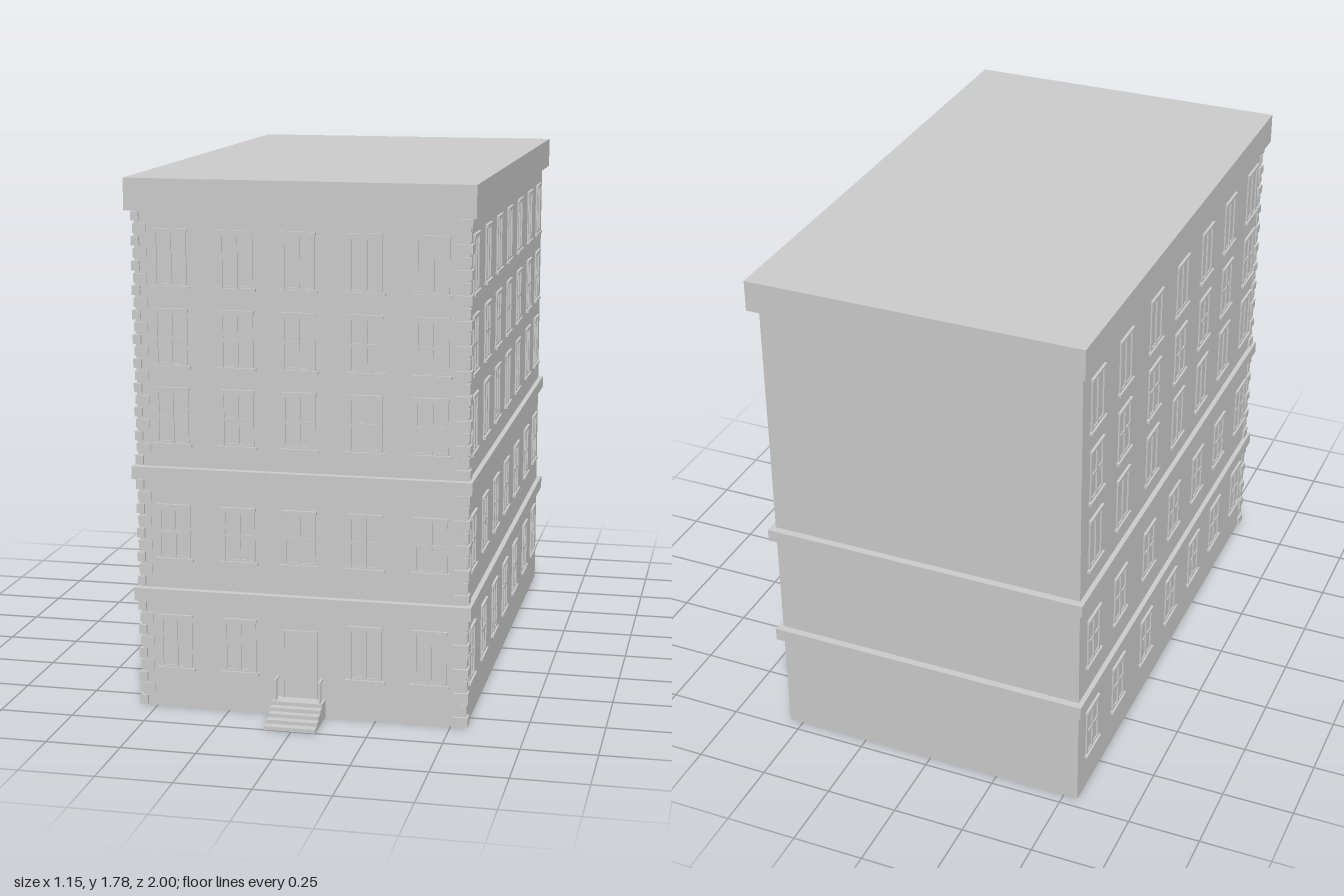
import * as THREE from 'three';

const material = new THREE.MeshStandardMaterial({ color: 0xcccccc, flatShading: true });

// Box given by its minimum and maximum on each axis
function block(parent, name, x0, x1, y0, y1, z0, z1) {
  const mesh = new THREE.Mesh(new THREE.BoxGeometry(x1 - x0, y1 - y0, z1 - z0), material);
  mesh.position.set((x0 + x1) / 2, (y0 + y1) / 2, (z0 + z1) / 2);
  mesh.name = name;
  parent.add(mesh);
  return mesh;
}

function group(parent, name) {
  const g = new THREE.Group();
  g.name = name;
  parent.add(g);
  return g;
}

// Window centred on local x = 0, wall plane at local z = 0, facing +z
function makeWindow(parent, bottom, top, crossbar) {
  const w = group(parent, 'window');
  const b = -0.003, d = 0.004;
  block(w, 'sill', -0.065, 0.065, bottom, bottom + 0.01, b, 0.011);
  block(w, 'lintel', -0.058, 0.058, top - 0.01, top, b, 0.009);
  block(w, 'topRail', -0.054, 0.054, top - 0.018, top - 0.01, b, d);
  block(w, 'bottomRail', -0.054, 0.054, bottom + 0.01, bottom + 0.017, b, d);
  for (const x of [-0.05, 0, 0.05])
    block(w, x ? 'jamb' : 'mullion', x - 0.005, x + 0.005, bottom + 0.01, top - 0.01, b, d + 0.001);
  if (crossbar) {
    const mid = (bottom + top) / 2;
    block(w, 'crossbar', -0.05, 0.05, mid - 0.005, mid + 0.005, b, d);
  }
  return w;
}

export function createModel() {
  const model = new THREE.Group();
  model.name = 'apartmentBuilding';
  const X = 0.55, ZF = 0.845, ZB = -0.96;

  // Main mass, string courses and roof cornice
  block(model, 'walls', -X, X, 0, 1.69, ZB, ZF);
  block(model, 'lowerBand', -0.567, 0.567, 0.37, 0.415, -0.985, 0.87);
  block(model, 'upperBand', -0.567, 0.567, 0.787, 0.83, -0.985, 0.87);
  block(model, 'roofCornice', -0.573, 0.573, 1.675, 1.78, -1, 0.878);

  // Windows, floor by floor: bottom, top, crossbar on the front, crossbar on the sides
  const floors = [
    [0.13, 0.323, false, true],
    [0.51, 0.703, true, true],
    [0.9, 1.097, true, false],
    [1.16, 1.357, true, true],
    [1.42, 1.617, false, false],
  ];
  const frontColumns = [-0.43, -0.21, -0.005, 0.215, 0.43];
  const sideColumns = [0.74, 0.48, 0.225, -0.035, -0.3, -0.585, -0.835];
  const front = group(model, 'frontWindows');
  const sides = group(model, 'sideWindows');
  floors.forEach(([bottom, top, crossFront, crossSide], floor) => {
    frontColumns.forEach((x, column) => {
      if (floor === 0 && column === 2) return; // the door is here
      makeWindow(front, bottom, top, crossFront).position.set(x, 0, ZF);
    });
    for (const z of sideColumns)
      for (const s of [-1, 1]) {
        const w = makeWindow(sides, bottom, top, crossSide);
        w.position.set(s * X, 0, z);
        w.rotation.y = s * Math.PI / 2;
      }
  });

  // Corner stones on the two front corners, alternately long and short
  const quoins = group(model, 'cornerStones');
  const pitch = 0.0405;
  const spans = [[0, 0.37], [0.415, 0.787], [0.83, 1.675]];
  for (const [start, end] of spans) {
    const count = Math.round((end - start) / pitch);
    const step = (end - start) / count;
    for (let i = 0; i < count; i++)
      for (const s of [-1, 1]) {
        const long = i % 2 === 0;
        const outer = s * (long ? 0.558 : 0.554);
        const inner = s * (long === (s > 0) ? 0.508 : 0.532);
        const y = start + i * step;
        block(quoins, 'cornerStone', Math.min(outer, inner), Math.max(outer, inner),
          y + 0.005, y + step - 0.005, long ? 0.815 : 0.827, long ? 0.855 : 0.85);
      }
  }

  // Entrance door with a slim surround
  const door = group(model, 'door');
  block(door, 'doorPanel', -0.06, 0.05, 0.06, 0.29, ZF - 0.01, ZF + 0.002);
  block(door, 'doorJamb', -0.065, -0.058, 0.06, 0.295, ZF - 0.01, ZF + 0.006);
  block(door, 'doorJamb', 0.048, 0.055, 0.06, 0.295, ZF - 0.01, ZF + 0.006);
  block(door, 'doorHead', -0.058, 0.048, 0.288, 0.295, ZF - 0.01, ZF + 0.006);

  // Front steps as one stepped profile extruded across x
  const stepDepths = [1.0, 0.972, 0.947, 0.922, 0.897];
  const rise = 0.0125;
  const profile = new THREE.Shape();
  profile.moveTo(-ZF + 0.005, 0);
  stepDepths.forEach((z, i) => {
    profile.lineTo(-z, i * rise);
    profile.lineTo(-z, (i + 1) * rise);
  });
  profile.lineTo(-ZF + 0.005, stepDepths.length * rise);
  const steps = new THREE.Mesh(
    new THREE.ExtrudeGeometry(profile, { depth: 0.17, bevelEnabled: false }), material);
  steps.rotation.y = Math.PI / 2;
  steps.position.x = -0.09;
  steps.name = 'frontSteps';
  model.add(steps);

  // Handrails on both sides of the landing
  for (const x of [-0.08, 0.07]) {
    const rail = group(model, 'handrail');
    block(rail, 'post', x - 0.003, x + 0.003, 0.06, 0.135, 0.886, 0.892);
    block(rail, 'post', x - 0.003, x + 0.003, 0.06, 0.135, 0.866, 0.872);
    block(rail, 'topRail', x - 0.004, x + 0.004, 0.13, 0.136, ZF, 0.895);
  }
  return model;
}
